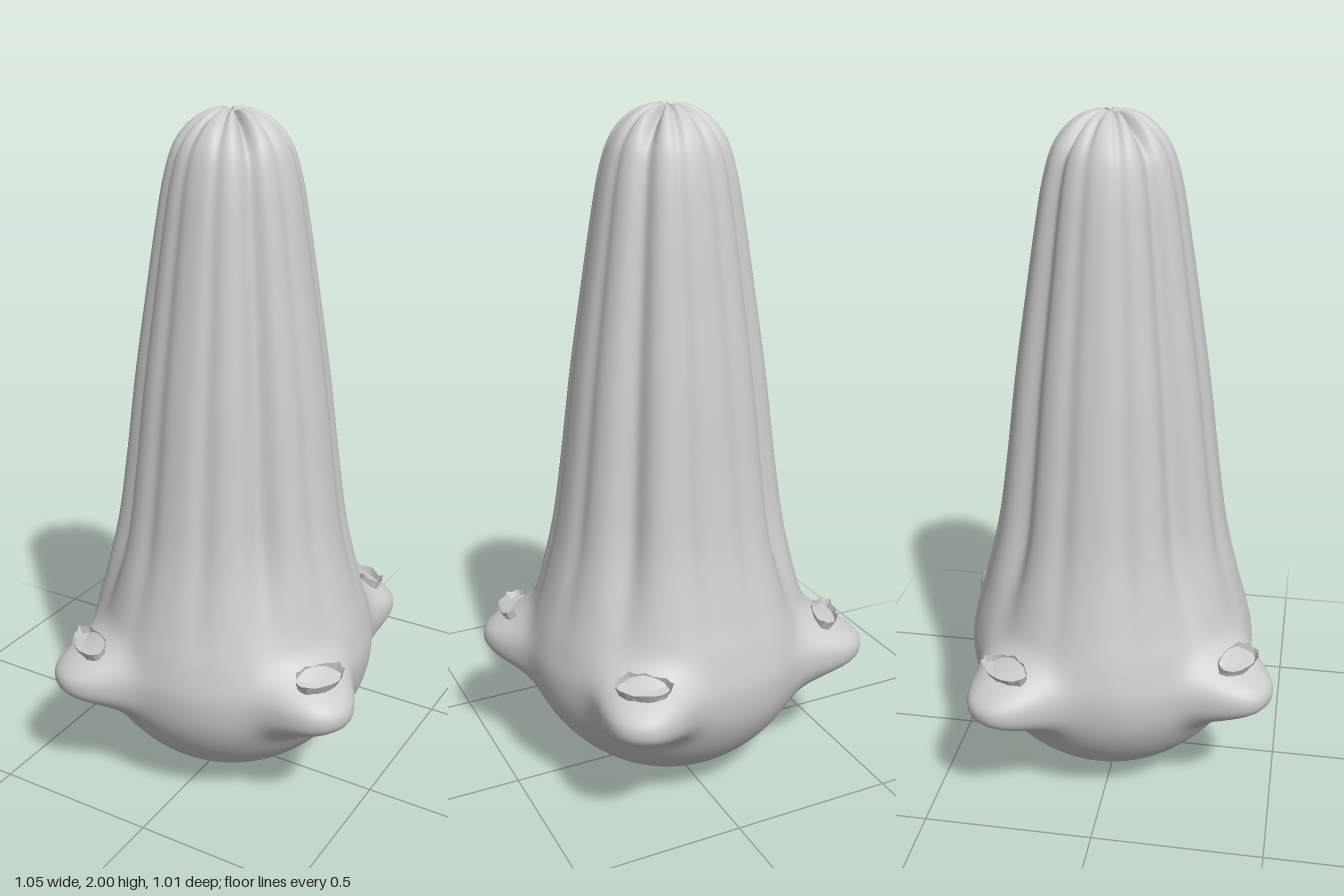
import * as THREE from 'three';
import { mergeVertices } from 'three/addons/utils/BufferGeometryUtils.js';

const CENTER_Z = -0.02;
// Side knobs: direction in the ground plane from the body axis, and reach
const KNOBS = [
  { x: 0.45, z: 0.25, reach: 0.57 },
  { x: -0.25, z: 0.41, reach: 0.58 },
  { x: -0.43, z: -0.25, reach: 0.59 },
  { x: 0.26, z: -0.39, reach: 0.57 },
].map(k => ({ ...k, angle: Math.atan2(k.z, k.x) }));

// Half profile of the body as [radius, height]
const PROFILE = [
  [0, 0], [0.12, 0.02], [0.25, 0.085], [0.35, 0.18], [0.415, 0.29], [0.435, 0.4],
  [0.42, 0.5], [0.385, 0.63], [0.345, 0.8], [0.315, 1.0], [0.283, 1.25], [0.245, 1.5],
  [0.213, 1.7], [0.19, 1.82], [0.16, 1.91], [0.11, 1.97], [0.05, 1.998], [0, 1.99],
];

const angleDiff = (a, b) => Math.atan2(Math.sin(a - b), Math.cos(a - b));
const bell = (d, width, power = 2) => Math.exp(-Math.pow(Math.abs(d / width), power));

// Depth of the lengthwise folds: four deep ones, each quarter also has two shallow ones
function foldDepth(angle) {
  let depth = 0;
  for (let i = 0; i < 4; i++) {
    const side = i * Math.PI / 2;
    depth += 0.12 * bell(angleDiff(angle, side + Math.PI / 4), 0.15);
    for (const s of [-1, 1]) depth += 0.035 * bell(angleDiff(angle, side + s * 0.27), 0.1);
  }
  return depth;
}

// Body: lathe whose radius is pulled in by the folds and pushed out by the knobs
function bodyGeometry() {
  const curve = new THREE.SplineCurve(PROFILE.map(p => new THREE.Vector2(...p)));
  const points = curve.getSpacedPoints(220);
  points.forEach(p => { p.x = Math.max(p.x, 0); p.y = THREE.MathUtils.clamp(p.y, 0, 2); });
  let geo = new THREE.LatheGeometry(points, 240);
  const pos = geo.attributes.position;
  for (let i = 0; i < pos.count; i++) {
    const x = pos.getX(i), y = pos.getY(i), z = pos.getZ(i);
    const r = Math.hypot(x, z);
    if (r < 1e-5) { pos.setXYZ(i, 0, y, CENTER_Z); continue; }
    const a = Math.atan2(z, x);
    const fold = foldDepth(a);
    let radius = r * (1 - fold * THREE.MathUtils.smoothstep(y, 0.4, 0.9));
    for (const k of KNOBS) {
      radius += (k.reach - 0.43) * bell(angleDiff(a, k.angle), 0.27, 2.4) * bell(y - 0.395, 0.09, 2.6);
    }
    // the folds also notch the crown
    const drop = fold * 0.25 * THREE.MathUtils.smoothstep(y, 1.85, 1.98) * Math.min(1, r / 0.06);
    pos.setXYZ(i, radius * Math.cos(a), y - drop, CENTER_Z + radius * Math.sin(a));
  }
  geo.deleteAttribute('uv');
  geo.deleteAttribute('normal');
  geo = mergeVertices(geo, 1e-5);
  geo.computeVertexNormals();
  return geo;
}

// Ragged oval rim around an opening, its inner wall sloping to a small floor
function rimGeometry(seed) {
  const n = 22;
  const geo = new THREE.CylinderGeometry(1, 0.8, 1, n, 1, true);
  const pos = geo.attributes.position;
  for (let i = 0; i < pos.count; i++) {
    const k = i % (n + 1) % n;
    const jag = Math.sin(k * 2.7 + seed) * 0.5 + Math.sin(k * 5.3 + seed * 2) * 0.5;
    const s = 1 + 0.08 * jag;
    const top = pos.getY(i) > 0;
    pos.setXYZ(i, pos.getX(i) * s * 0.08, top ? 0.025 + 0.008 * jag : -0.03, pos.getZ(i) * s * 0.042);
  }
  return geo;
}

export function createModel() {
  const model = new THREE.Group();
  model.name = 'flutedBody';
  const smooth = new THREE.MeshStandardMaterial({ color: 0xcccccc, side: THREE.DoubleSide });
  const faceted = new THREE.MeshStandardMaterial({ color: 0xcccccc, flatShading: true, side: THREE.DoubleSide });

  const body = new THREE.Mesh(bodyGeometry(), smooth);
  body.name = 'body';
  model.add(body);

  // Openings on top of the knobs
  KNOBS.forEach((k, i) => {
    const opening = new THREE.Group();
    opening.name = 'knobOpening' + (i + 1);
    const rim = new THREE.Mesh(rimGeometry(i + 1), faceted);
    rim.name = 'raggedRim';
    const floor = new THREE.Mesh(new THREE.CircleGeometry(1, 22), faceted);
    floor.name = 'openingFloor';
    floor.rotation.x = -Math.PI / 2;
    floor.scale.set(0.074, 0.039, 1);
    floor.position.y = 0.005;
    opening.add(rim, floor);
    const d = 0.475;
    opening.position.set(d * Math.cos(k.angle), 0.478, CENTER_Z + d * Math.sin(k.angle));
    // long axis runs around the body, tilted outward
    opening.rotation.order = 'YXZ';
    opening.rotation.y = Math.PI / 2 - k.angle;
    opening.rotation.x = 0.3;
    model.add(opening);
  });
  return model;
}
